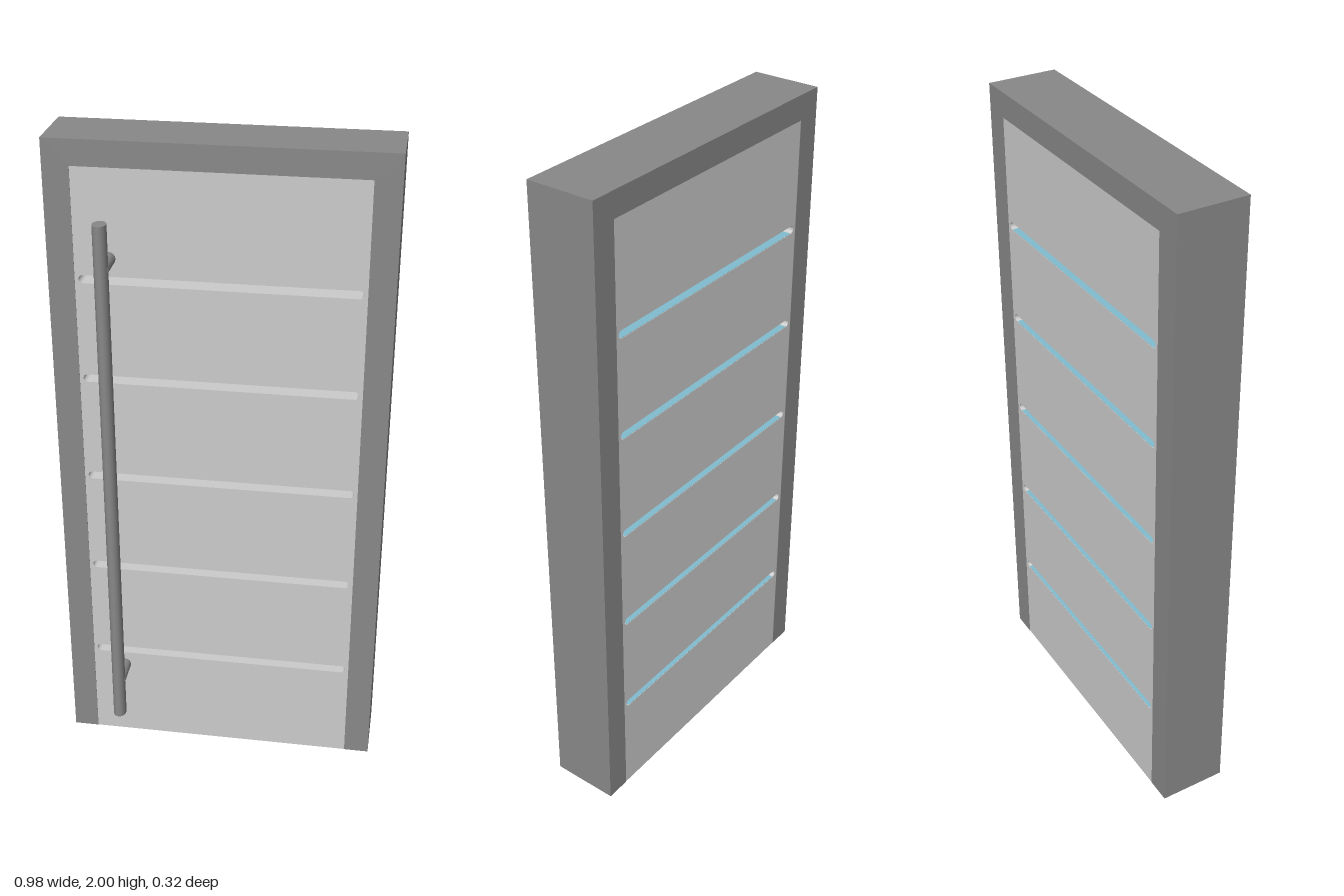
import * as THREE from 'three';

const BACK = -0.16, FRONT = 0.048;
const frameMat = new THREE.MeshStandardMaterial({ color: 0x888888 });
const panelMat = new THREE.MeshStandardMaterial({ color: 0xcccccc });
const glassMat = new THREE.MeshStandardMaterial({ color: 0x81bdd0, side: THREE.DoubleSide });

// Horizontal slot outline with rounded ends
function slotOutline(target, y, halfLength, r) {
  target.moveTo(-halfLength + r, y - r);
  target.lineTo(halfLength - r, y - r);
  target.absarc(halfLength - r, y, r, -Math.PI / 2, Math.PI / 2, false);
  target.lineTo(-halfLength + r, y + r);
  target.absarc(-halfLength + r, y, r, Math.PI / 2, Math.PI * 1.5, false);
  return target;
}

function polygon(points) {
  return new THREE.Shape(points.map(([x, y]) => new THREE.Vector2(x, y)));
}

function extrude(shape, z0, z1) {
  const g = new THREE.ExtrudeGeometry(shape, { depth: z1 - z0, bevelEnabled: false, curveSegments: 8 });
  return g.translate(0, 0, z0);
}

export function createModel() {
  const model = new THREE.Group();
  const add = (name, geometry, material) => {
    const mesh = new THREE.Mesh(geometry, material);
    mesh.name = name;
    model.add(mesh);
    return mesh;
  };

  // Door frame: two jambs and a head, open at the bottom
  const frame = polygon([
    [-0.49, 0], [-0.413, 0], [-0.413, 1.925], [0.413, 1.925],
    [0.413, 0], [0.49, 0], [0.49, 2], [-0.49, 2],
  ]);
  add('frame', extrude(frame, BACK, FRONT), frameMat);

  // Door leaf, flush with the frame, pierced by five slots
  const leaf = polygon([[-0.413, 0], [0.413, 0], [0.413, 1.925], [-0.413, 1.925]]);
  const slotHeights = [0.323, 0.645, 0.966, 1.291, 1.599];
  for (const y of slotHeights) leaf.holes.push(slotOutline(new THREE.Path(), y, 0.402, 0.012));
  add('doorLeaf', extrude(leaf, BACK + 0.001, FRONT - 0.001), panelMat);

  // Glass set deep in each slot, with a glass sill toward the back
  for (const y of slotHeights) {
    add('glassStrip', extrude(slotOutline(new THREE.Shape(), y, 0.402, 0.012), -0.062, -0.05), glassMat);
    const sill = new THREE.BoxGeometry(0.78, 0.001, 0.096);
    add('glassSill', sill, glassMat).position.set(0, y - 0.0112, -0.11);
  }

  // Long oval pull bar
  const bar = new THREE.CylinderGeometry(0.02, 0.02, 1.66, 24).scale(1, 1, 1.3);
  add('pullBar', bar, frameMat).position.set(-0.315, 0.965, 0.132);

  // Standoffs joining the bar to the leaf
  for (const y of [0.267, 1.665]) {
    const post = new THREE.CylinderGeometry(0.02, 0.02, 0.09, 16).rotateX(Math.PI / 2);
    add('handleStandoff', post, frameMat).position.set(-0.313, y, 0.09);
  }
  return model;
}
